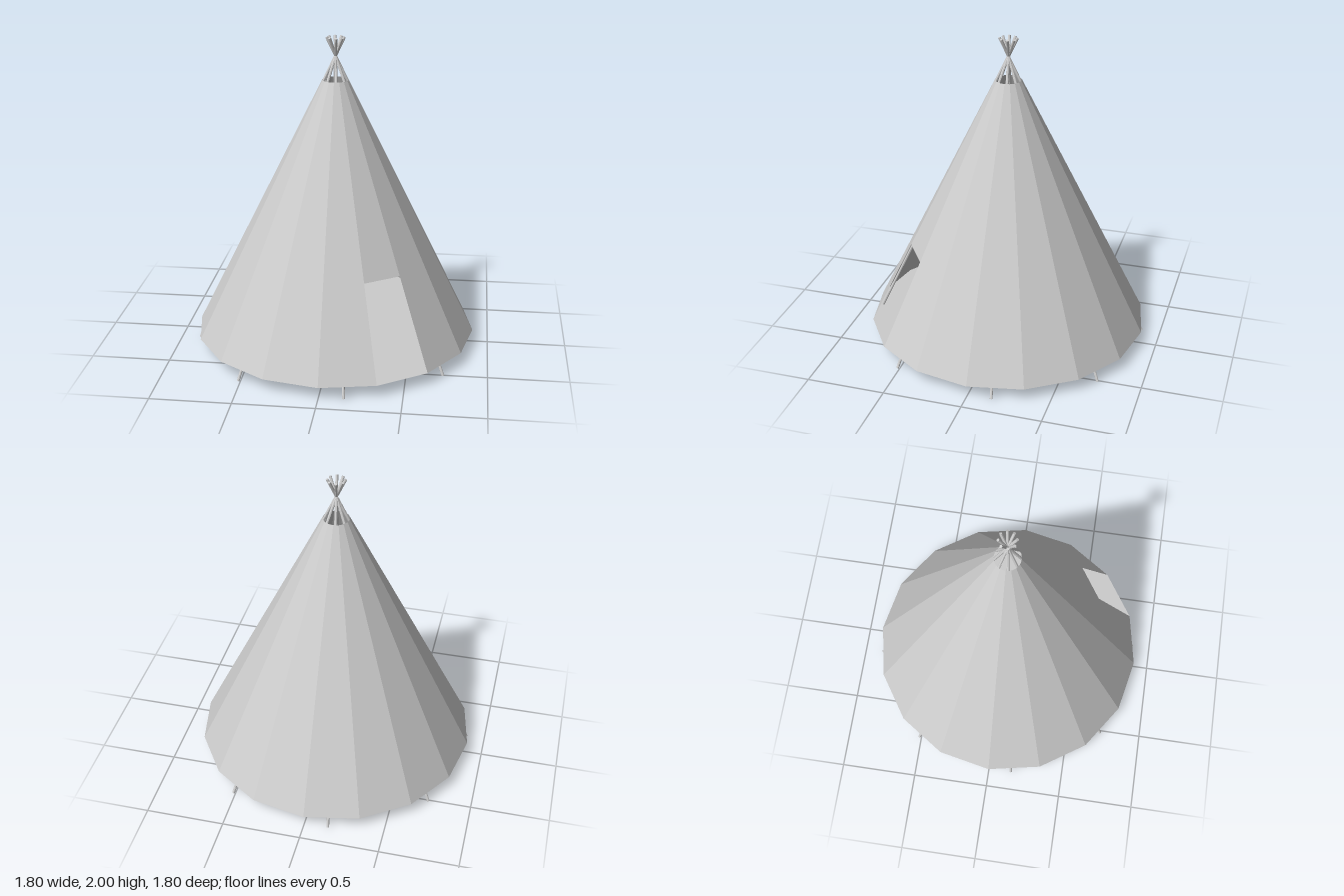
import * as THREE from 'three';

export function createModel() {
  const model = new THREE.Group();
  const canvas = new THREE.MeshStandardMaterial({ color: 0xcccccc, flatShading: true, side: THREE.DoubleSide });
  canvas.name = 'pale grey';

  const add = (name, geometry, y = 0, parent = model) => {
    const mesh = new THREE.Mesh(geometry, canvas);
    mesh.name = name;
    mesh.position.y = y;
    parent.add(mesh);
    return mesh;
  };

  // Sixteen-sided cover: closed above the doorway, one panel missing below it
  const sides = 16, step = Math.PI * 2 / sides;
  const floorY = 0.08, doorY = 0.625, topY = 1.73;
  const radiusAt = y => 0.9 + (0.083 - 0.9) * (y - floorY) / (topY - floorY);
  const coverBand = (y0, y1, count, start) =>
    new THREE.CylinderGeometry(radiusAt(y1), radiusAt(y0), y1 - y0, count, 1, true, start, count * step);
  add('upperCover', coverBand(doorY, topY, sides, 0), (doorY + topY) / 2);
  add('lowerCover', coverBand(floorY, doorY, sides - 1, 2 * step), (floorY + doorY) / 2);

  // Groundsheet
  const floor = new THREE.CircleGeometry(0.9, sides);
  floor.rotateX(-Math.PI / 2);
  add('floor', floor, floorY);

  // Eight poles that cross on the axis just above the cover
  const poles = new THREE.Group();
  poles.name = 'poles';
  model.add(poles);
  const crossingY = 1.88, slope = 0.892 / crossingY;
  for (let i = 0; i < 8; i++) {
    const angle = THREE.MathUtils.degToRad(9.8 + 45 * i);
    const pointAt = y => {
      const r = (crossingY - y) * slope;
      return new THREE.Vector3(Math.sin(angle) * r, y, Math.cos(angle) * r);
    };
    const foot = pointAt(0.004), tip = pointAt(1.996);
    const pole = add('pole', new THREE.CylinderGeometry(0.009, 0.009, foot.distanceTo(tip), 8), 0, poles);
    pole.position.copy(foot).lerp(tip, 0.5);
    pole.quaternion.setFromUnitVectors(new THREE.Vector3(0, 1, 0), tip.sub(foot).normalize());
  }

  // Octagonal hearth with a pointed fire in the middle
  const v = (x, y) => new THREE.Vector2(x, y);
  add('hearth', new THREE.LatheGeometry([v(0.21, 0), v(0.21, 0.11), v(0.12, 0.11), v(0.12, 0)], 8), floorY);
  add('fire', new THREE.LatheGeometry([v(0, 0.068), v(0.055, 0.14), v(0, 0.29)], 8));

  return model;
}
